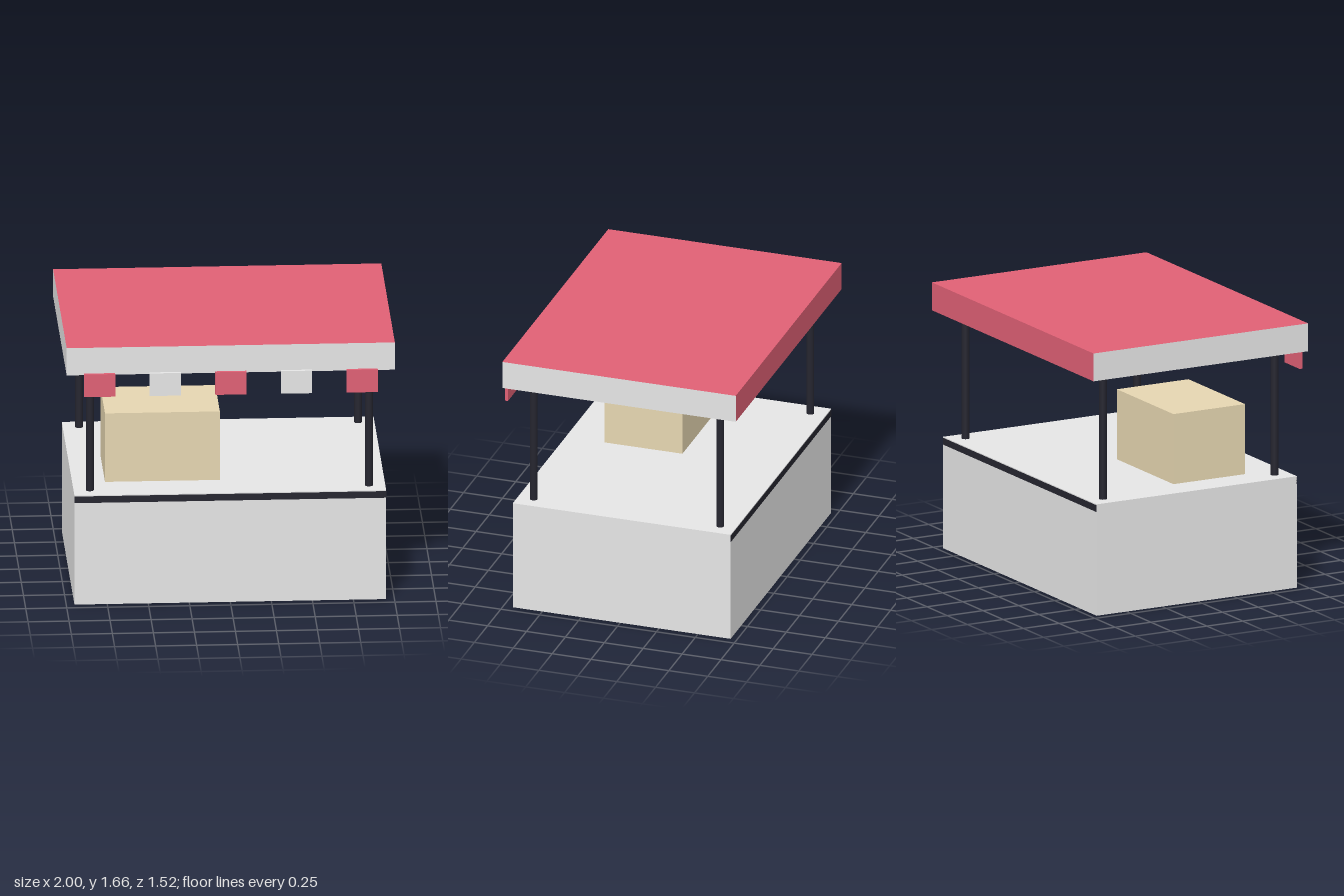
import * as THREE from 'three';

const mat = (name, color) => {
  const m = new THREE.MeshStandardMaterial({ color });
  m.name = name;
  return m;
};

export function createModel() {
  const white = mat('white', 0xe6e6e6);
  const red = mat('red', 0xe06075);
  const tan = mat('tan', 0xe6d6b1);
  const dark = mat('dark', 0x25252f);
  const stall = new THREE.Group();
  stall.name = 'marketStall';

  const add = (name, geometry, material, x, y, z) => {
    const mesh = new THREE.Mesh(geometry, material);
    mesh.name = name;
    mesh.position.set(x, y, z);
    stall.add(mesh);
  };
  // Box given by its lower and upper corners
  const box = (name, material, [x0, y0, z0], [x1, y1, z1]) =>
    add(name, new THREE.BoxGeometry(x1 - x0, y1 - y0, z1 - z0), material,
      (x0 + x1) / 2, (y0 + y1) / 2, (z0 + z1) / 2);

  // Counter with a dark trim line on its front and back
  box('counter', white, [-0.95, 0, -0.71], [0.95, 0.7, 0.69]);
  box('frontTrim', dark, [-0.95, 0.652, 0.688], [0.95, 0.694, 0.692]);
  box('backTrim', dark, [-0.95, 0.652, -0.712], [0.95, 0.694, -0.708]);

  // Crate on the counter
  box('crate', tan, [-0.75, 0.7, -0.06], [-0.05, 1.14, 0.44]);

  // Four corner posts
  const postGeometry = new THREE.CylinderGeometry(0.024, 0.024, 0.8, 12);
  for (const x of [-0.85, 0.85])
    for (const z of [-0.61, 0.59]) add('post', postGeometry, dark, x, 1.095, z);

  // Roof: red top, underside and back; white front and sides
  box('roof', [white, white, red, red, white, red], [-1, 1.49, -0.76], [1, 1.665, 0.74]);

  // Alternating hanging flaps
  for (let i = 0; i < 5; i++) {
    const x = -0.8 + i * 0.4;
    box('flap', i % 2 ? white : red, [x - 0.095, 1.355, 0.74], [x + 0.095, 1.5, 0.76]);
  }
  return stall;
}
